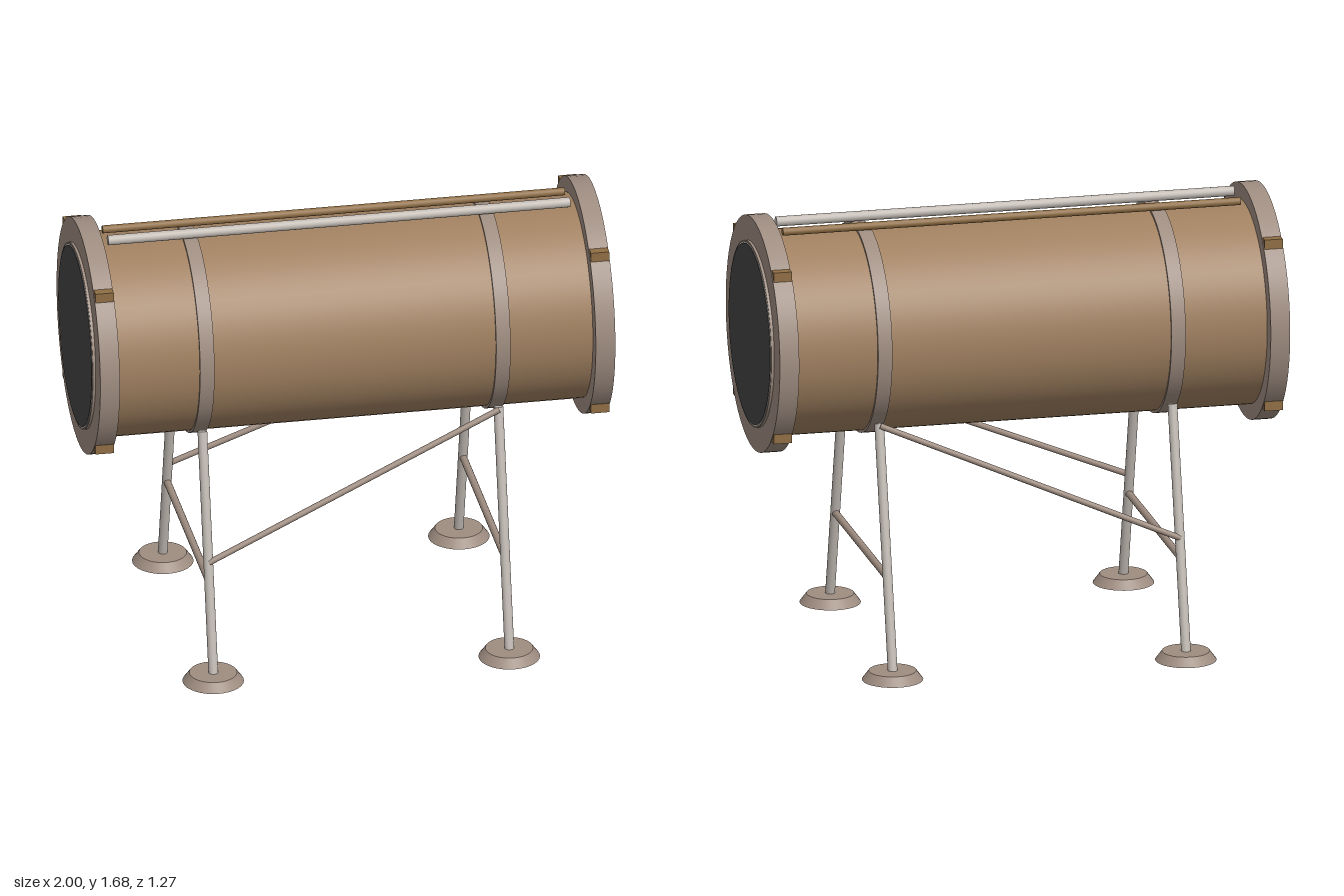
import * as THREE from 'three';

const mat = (name, color) => {
  const m = new THREE.MeshStandardMaterial({ color });
  m.name = name;
  return m;
};

export function createModel() {
  const model = new THREE.Group();
  model.name = 'cylinderOnStand';

  const tan = mat('tan', 0xa08060);
  const taupe = mat('taupe', 0x9f8d81);
  const paleGrey = mat('paleGrey', 0xc2bbb4);
  const brown = mat('brown', 0x8f6e45);
  const charcoal = mat('charcoal', 0x444444);

  const axisY = 1.235;   // height of the drum axis
  const legX = 0.567;

  const add = (name, geometry, material, x = 0, y = 0, z = 0) => {
    const mesh = new THREE.Mesh(geometry, material);
    mesh.name = name;
    mesh.position.set(x, y, z);
    model.add(mesh);
    return mesh;
  };

  // Cylinder lying along x, centred on the given point
  const drum = (name, radius, length, material, x, y = axisY, z = 0, sides = 64) =>
    add(name, new THREE.CylinderGeometry(radius, radius, length, sides).rotateZ(Math.PI / 2), material, x, y, z);

  // Straight rod between two points
  const rod = (name, a, b, radius, material) => {
    const from = new THREE.Vector3(...a), to = new THREE.Vector3(...b);
    const dir = to.clone().sub(from);
    const mesh = add(name, new THREE.CylinderGeometry(radius, radius, dir.length(), 16), material);
    mesh.position.copy(from).add(to).multiplyScalar(0.5);
    mesh.quaternion.setFromUnitVectors(new THREE.Vector3(0, 1, 0), dir.normalize());
  };

  // Leg centre line: z offset at a given height
  const legZ = (y) => 0.518 - (y - 0.04) * 0.247;

  drum('body', 0.39, 1.9, tan, 0);

  // Pipes along the top
  drum('largePipe', 0.019, 1.77, paleGrey, 0, 1.653, 0.055, 16);
  drum('smallPipe', 0.015, 1.77, brown, 0, 1.645, -0.055, 16);

  for (const s of [-1, 1]) {
    // End flange, raised rim and dark cover
    drum('flange', 0.45, 0.075, taupe, s * 0.949);
    drum('endRim', 0.355, 0.05, taupe, s * 0.972);
    drum('rimFace', 0.35, 0.004, paleGrey, s * 0.9965);
    drum('endCover', 0.344, 0.004, charcoal, s * 0.998);

    // Clips around the flange
    for (const sy of [-1, 1]) for (const sz of [-1, 1]) {
      add('flangeClip', new THREE.BoxGeometry(0.07, 0.037, 0.037), brown,
        s * 0.949, axisY + sy * 0.318, sz * 0.318);
    }

    // Support band around the body
    drum('band', 0.4, 0.055, taupe, s * legX);

    // Legs with round feet
    for (const sz of [-1, 1]) {
      rod('leg', [s * legX, 0.03, sz * legZ(0.03)], [s * legX, 0.94, sz * legZ(0.94)], 0.0185, paleGrey);
      add('foot', new THREE.CylinderGeometry(0.09, 0.116, 0.035, 32), taupe, s * legX, 0.0175, sz * 0.518);
    }

    // Crossbar between front and back legs
    rod('crossbar', [s * legX, 0.375, -legZ(0.375)], [s * legX, 0.375, legZ(0.375)], 0.014, taupe);

    // Diagonal brace along each side
    rod('diagonalBrace', [-legX, 0.45, s * 0.427], [legX, 0.935, s * 0.312], 0.0115, taupe);
  }

  return model;
}
